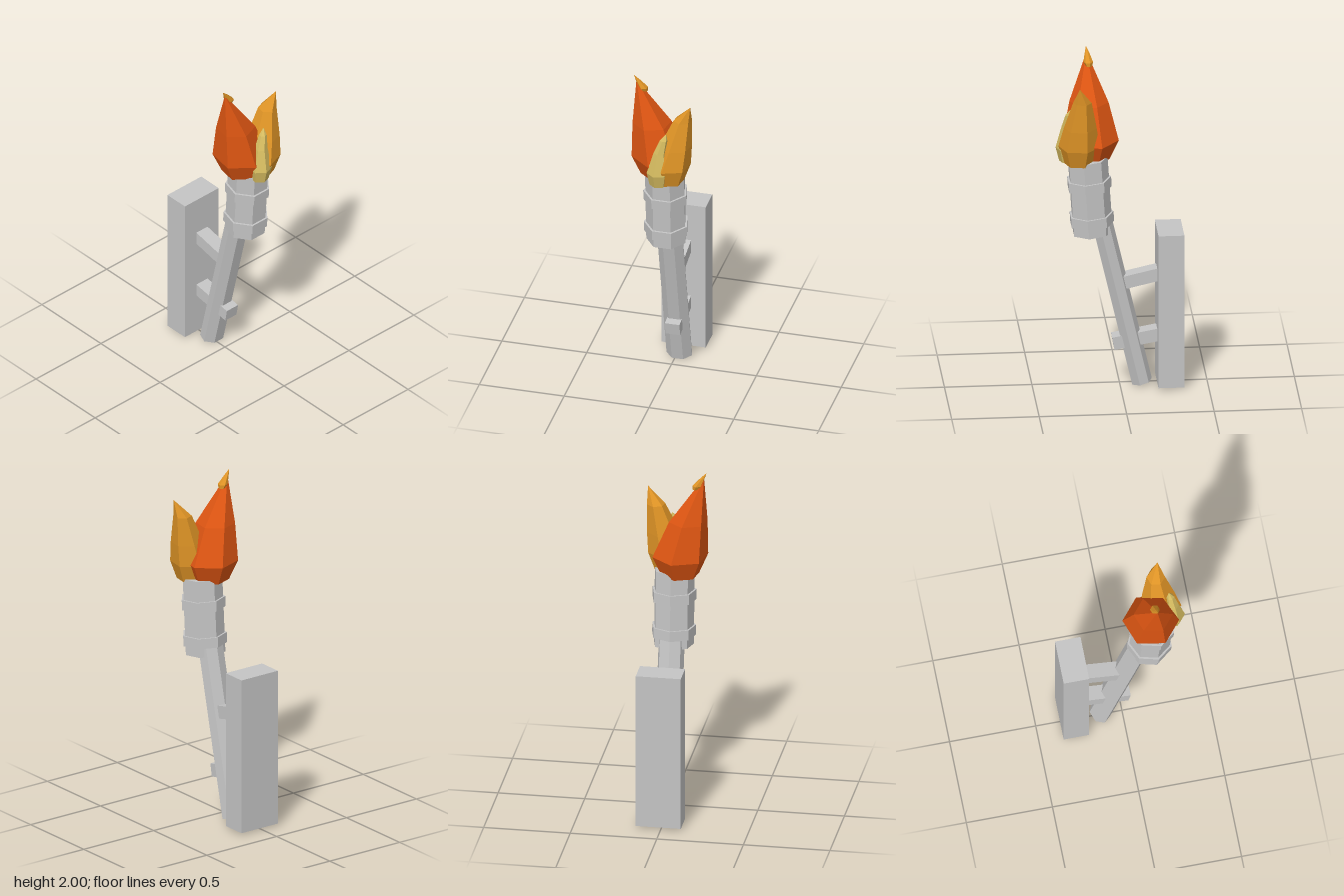
import * as THREE from 'three';

const mat = (name, color) => {
  const m = new THREE.MeshStandardMaterial({ color, flatShading: true });
  m.name = name;
  return m;
};

export function createModel() {
  const model = new THREE.Group();
  const grey = mat('grey', 0xc4c4c4);
  const red = mat('flame red', 0xdd5512);
  const orange = mat('flame orange', 0xdf9426);
  const pale = mat('pale yellow', 0xd6bc60);

  const add = (name, geometry, material, parent = model) => {
    const mesh = new THREE.Mesh(geometry, material);
    mesh.name = name;
    parent.add(mesh);
    return mesh;
  };

  // Seven-sided prism with a ridge at the back, standing on its base
  const prism = (r, h, y = 0) =>
    new THREE.CylinderGeometry(r, r, h, 7, 1, false, Math.PI).translate(0, y + h / 2, 0);

  // Six-sided flame through rings [x, y, z, radius], the last one being the tip
  const flame = (rings) => {
    const sides = 6, pos = [];
    const point = ([x, y, z, r], i) => {
      const a = ((i % sides) * 60 - 20) * Math.PI / 180;
      return [x + r * Math.cos(a), y, z + r * Math.sin(a)];
    };
    const base = rings[0].slice(0, 3);
    for (let i = 0; i < sides; i++) {
      pos.push(...base, ...point(rings[0], i), ...point(rings[0], i + 1));
      for (let k = 0; k < rings.length - 1; k++) {
        const a = point(rings[k], i), b = point(rings[k], i + 1);
        const d = point(rings[k + 1], i), c = point(rings[k + 1], i + 1);
        pos.push(...a, ...d, ...b);
        if (rings[k + 1][3] > 0) pos.push(...b, ...d, ...c);
      }
    }
    const g = new THREE.BufferGeometry();
    g.setAttribute('position', new THREE.Float32BufferAttribute(pos, 3));
    g.computeVertexNormals();
    return g;
  };

  // Wall board
  add('wallBoard', new THREE.BoxGeometry(0.26, 0.93, 0.148), grey).position.set(0.015, 0.48, -0.286);

  // Brackets from the board to the shaft
  const bracket = (name, y, z, length, tilt) => {
    const m = add(name, new THREE.BoxGeometry(0.086, 0.076, length), grey);
    m.position.set(0.016, y, z);
    m.rotation.x = tilt;
  };
  bracket('upperBracket', 0.652, -0.11, 0.23, 0.222);
  bracket('lowerBracket', 0.285, -0.091, 0.265, 0.178);

  // Leaning shaft
  const shaft = add('shaft', prism(0.077, 1.16), grey);
  shaft.scale.z = 0.8;
  shaft.position.set(0.016, 0.017, -0.124);
  shaft.rotation.x = 0.228;

  // Cup with two bands
  const cup = new THREE.Group();
  cup.name = 'cup';
  cup.position.set(0.015, 0.935, 0.157);
  cup.rotation.x = 0.065;
  add('cupBody', prism(0.118, 0.455), grey, cup);
  add('lowerBand', prism(0.13, 0.06, 0.055), grey, cup);
  add('upperBand', prism(0.13, 0.06, 0.27), grey, cup);
  model.add(cup);

  // Flames
  add('redFlame', flame([
    [-0.025, 1.37, 0.163, 0.11], [-0.025, 1.485, 0.163, 0.162],
    [-0.07, 1.7, 0.168, 0.112], [-0.16, 1.97, 0.175, 0],
  ]), red);
  add('orangeFlame', flame([
    [0.05, 1.37, 0.235, 0.085], [0.055, 1.475, 0.235, 0.118],
    [0.085, 1.6, 0.23, 0.094], [0.125, 1.77, 0.221, 0.053], [0.174, 1.87, 0.24, 0],
  ]), orange);
  add('paleFlame', flame([
    [0, 1.37, 0.295, 0.05], [0, 1.45, 0.3, 0.065],
    [0.01, 1.58, 0.295, 0.037], [0.03, 1.66, 0.288, 0.022], [0.042, 1.7, 0.28, 0],
  ]), pale);
  add('flameTip', flame([
    [-0.112, 1.9, 0.165, 0.018], [-0.122, 1.922, 0.168, 0.028],
    [-0.15, 1.965, 0.172, 0.014], [-0.175, 2.0, 0.177, 0],
  ]), orange);

  return model;
}
